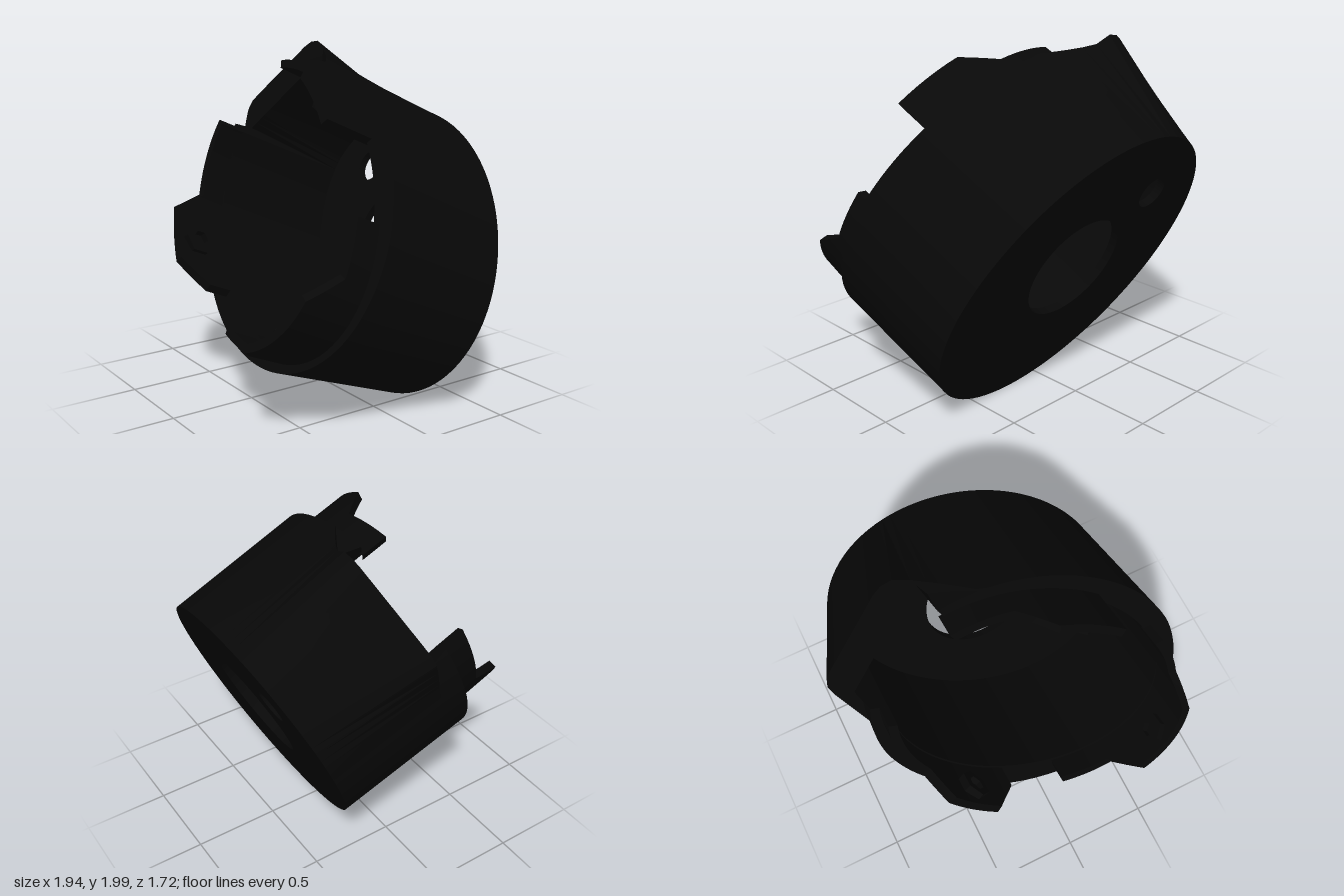
import * as THREE from 'three';
import { toCreasedNormals } from 'three/addons/utils/BufferGeometryUtils.js';

const DEG = Math.PI / 180;
const TILT = 42 * DEG; // slant of the oval's long axis

// radius of the slanted oval at a polar angle
function oval(phi, a, b) {
  const p = phi + TILT;
  return (a * b) / Math.hypot(b * Math.cos(p), a * Math.sin(p));
}

// corner lug outline around the oval's centre
const LUG = [[-0.11, 0.85], [-0.41, 0.96], [-0.52, 1.02], [-0.56, 1.02], [-0.61, 1.0], [-1.0, 0.6], [-1.025, 0.56], [-1.025, 0.5], [-0.9, 0.15]];
function lugRadius(phi) {
  const dx = Math.cos(phi), dy = Math.sin(phi);
  let best = 0;
  for (let i = 0; i < LUG.length - 1; i++) {
    const [x, y] = LUG[i], ex = LUG[i + 1][0] - x, ey = LUG[i + 1][1] - y;
    const det = dx * ey - dy * ex;
    const r = (x * ey - y * ex) / det, s = (x * dy - y * dx) / det;
    if (r > 0 && s >= -1e-6 && s <= 1 + 1e-6) best = Math.max(best, r);
  }
  return best;
}

// surface through [radius, height] profiles placed at each angle
function sweep(angles, profile, capped) {
  const pos = [];
  const rows = angles.map((d) => profile(d).map(([r, w]) => [r * Math.cos(d * DEG), r * Math.sin(d * DEG), w]));
  const quad = (a, b, c, d) => pos.push(...a, ...b, ...c, ...a, ...c, ...d);
  for (let i = 0; i < rows.length - 1; i++) {
    for (let j = 0; j < rows[i].length - 1; j++) {
      quad(rows[i][j], rows[i + 1][j], rows[i + 1][j + 1], rows[i][j + 1]);
    }
  }
  if (capped) {
    const s = rows[0], e = rows[rows.length - 1];
    quad(s[0], s[1], s[2], s[3]);
    quad(e[3], e[2], e[1], e[0]);
  }
  const g = new THREE.BufferGeometry();
  g.setAttribute('position', new THREE.Float32BufferAttribute(pos, 3));
  return toCreasedNormals(g, 25 * DEG);
}

// evenly spaced angles plus exact break angles
function angleList(from, to, breaks = []) {
  const list = [from, to, ...breaks];
  for (let d = Math.ceil(from / 3) * 3; d < to; d += 3) list.push(d);
  return [...new Set(list)].sort((a, b) => a - b);
}

export function createModel() {
  const black = new THREE.MeshStandardMaterial({ color: 0x080808 });
  black.name = 'black';
  const model = new THREE.Group();
  model.name = 'housing';
  const cup = new THREE.Group();
  cup.name = 'tiltedCup';
  cup.position.set(0.06, 0.78, -0.52);
  cup.rotation.x = -0.4115;
  model.add(cup);
  const add = (name, geometry) => {
    const m = new THREE.Mesh(geometry, black);
    m.name = name;
    cup.add(m);
    return m;
  };

  // floor plate with the large and the small hole
  const plate = new THREE.Shape();
  plate.absellipse(0, 0, 0.96, 0.747, 0, Math.PI * 2, false, -TILT);
  for (const [x, y, r] of [[0.01, 0.03, 0.328], [-0.445, 0.43, 0.098]]) {
    const hole = new THREE.Path();
    hole.absarc(x, y, r, 0, Math.PI * 2, true);
    plate.holes.push(hole);
  }
  add('floor', toCreasedNormals(
    new THREE.ExtrudeGeometry(plate, { depth: 0.05, bevelEnabled: false, curveSegments: 48 }), 25 * DEG));

  // wall flaring everywhere but the top, growing into the corner lug and cut lower beside it
  const wall = (d) => {
    const p = d * DEG;
    const low = d > 114 && d < 156;
    const h = low ? 0.7 : 0.845;
    const shoulder = 0.7 + 0.145 * THREE.MathUtils.clamp((114 - d) / 14, 0, 1);
    const spread = 0.05 * Math.min(1, 1 - Math.sin(p));
    const flare = (w) => oval(p, 0.96 + spread * w, 0.747 + spread * w);
    const inner = oval(p, 0.9, 0.63);
    const cavityTop = low ? 0.94 / Math.cos(p - 136.5 * DEG) : inner;
    return [
      [flare(0), 0], [Math.max(flare(shoulder), lugRadius(p)), shoulder],
      [Math.max(flare(shoulder), low ? cavityTop : 0), shoulder],
      [Math.max(flare(h), low ? cavityTop : 0), h], [cavityTop, h], [inner, 0.02],
    ];
  };
  add('wall', sweep(angleList(0, 360, [100, 113.95, 114.05, 155.95, 156.05]), wall, false));

  // raised lip in three pieces, each stepping up to a tab: [angle, height]
  const lips = {
    upperLip: [[44, 1.155], [79, 1.155], [92, 0.99], [115, 0.99]],
    rightLip: [[155, 0.99], [187, 0.99], [197, 1.16], [228, 1.16], [242, 0.99]],
    lowerLip: [[271, 0.99], [293, 0.99], [302, 1.16], [333, 1.16], [343, 0.99], [364, 0.99]],
  };
  for (const [name, steps] of Object.entries(lips)) {
    const height = (d) => {
      let i = 0;
      while (i < steps.length - 2 && d > steps[i + 1][0]) i++;
      const [a, h] = steps[i], [b, k] = steps[i + 1];
      return h + ((k - h) * (d - a)) / (b - a);
    };
    const section = (d) => {
      const out = oval(d * DEG, 0.95, 0.68), inn = oval(d * DEG, 0.9, 0.63), h = height(d);
      return [[out, 0.83], [out, h], [inn, h], [inn, 0.83]];
    };
    const ends = steps.map((s) => s[0]);
    const lip = add(name, sweep(angleList(ends[0], ends[ends.length - 1], ends), section, true));
    lip.position.y = -0.017;
  }

  // six-sided nut seats on the inner side of the tabs
  const seat = new THREE.LatheGeometry(
    [[0.05, 0], [0.095, 0], [0.095, 0.06], [0.05, 0.06], [0.05, 0]].map(([x, y]) => new THREE.Vector2(x, y)), 6);
  const seatGeometry = toCreasedNormals(seat, 0.3);
  [62, 214, 315].forEach((d, i) => {
    const p = d * DEG, r = oval(p, 0.9, 0.63) + 0.02;
    const nut = add('nutSeat' + (i + 1), seatGeometry);
    nut.position.set(r * Math.cos(p), r * Math.sin(p) - 0.017, 1.03);
    nut.rotation.z = p + Math.PI / 2;
  });

  return model;
}
